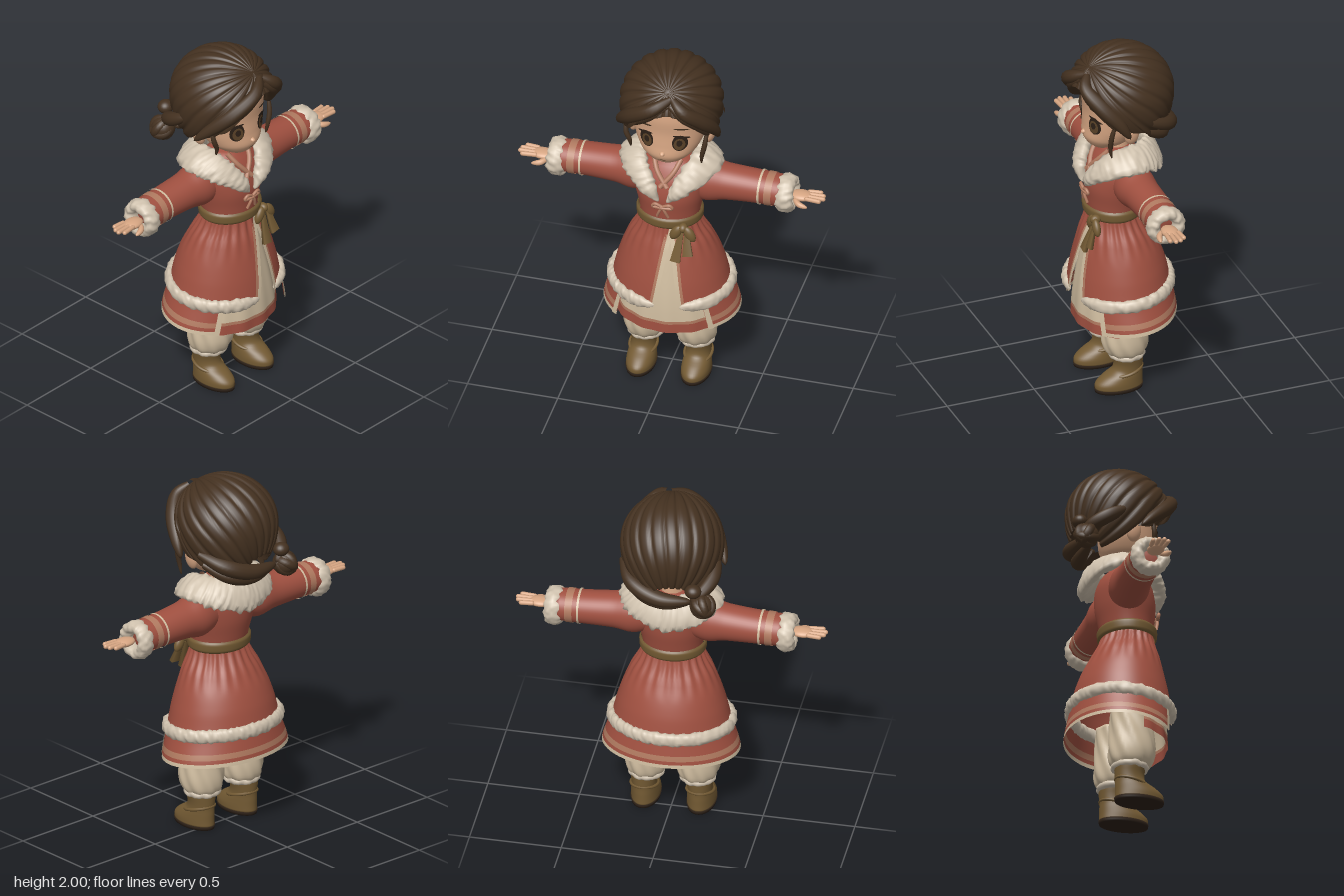
import * as THREE from 'three';
import { mergeVertices } from 'three/addons/utils/BufferGeometryUtils.js';

const V = (x, y, z) => new THREE.Vector3(x, y, z);
const { sin, cos, abs, PI, asin, sqrt, min, max } = Math;

// Grid surface from a function of (u, v), wound to face outward
function grid(nu, nv, fn) {
  const pos = [], idx = [], c = V(0, 0, 0), pts = [];
  for (let j = 0; j <= nv; j++) for (let i = 0; i <= nu; i++) {
    const p = fn(i / nu, j / nv); pts.push(p); c.add(p); pos.push(p.x, p.y, p.z);
  }
  c.divideScalar(pts.length);
  let vol = 0;
  const tri = (a, b, d) => {
    idx.push(a, b, d);
    vol += pts[a].clone().sub(c).dot(pts[b].clone().sub(c).cross(pts[d].clone().sub(c)));
  };
  for (let j = 0; j < nv; j++) for (let i = 0; i < nu; i++) {
    const a = j * (nu + 1) + i, b = a + nu + 1;
    tri(a, a + 1, b); tri(a + 1, b + 1, b);
  }
  if (vol < 0) idx.reverse();
  let g = new THREE.BufferGeometry();
  g.setAttribute('position', new THREE.Float32BufferAttribute(pos, 3));
  g.setIndex(idx);
  g = mergeVertices(g, 1e-5);
  g.computeVertexNormals();
  return g;
}

// Smooth lookup in a table whose first column is the key
function at(rows, y) {
  let i = 0;
  while (i < rows.length - 2 && rows[i + 1][0] <= y) i++;
  const b = rows[i], c = rows[i + 1], a = rows[max(i - 1, 0)], d = rows[min(i + 2, rows.length - 1)];
  const t = min(1, max(0, (y - b[0]) / (c[0] - b[0])));
  return b.map((_, k) => b[k] + 0.5 * t * (c[k] - a[k] + t * (2 * a[k] - 5 * b[k] + 4 * c[k] - d[k]
    + t * (3 * (b[k] - c[k]) + d[k] - a[k]))));
}

// Point on an elliptical section; row = [y, rx, rz, cz, tilt]
function ringPoint(rows, y, th, push = 0) {
  const [, rx, rz, cz = 0, tilt = 0] = at(rows, y);
  return V(sin(th) * (rx + push), y - tilt * cos(th), cz + cos(th) * (rz + push));
}
function loft(rows, { lo = rows[0][0], hi = rows.at(-1)[0], n = 24, seg = 48, a0 = () => 0, a1 = () => 2 * PI,
  push = 0, fold = () => 0, cap = false } = {}) {
  return grid(seg, n, (u, v) => {
    const k = cap ? min(1, max(0, (v * n - 1) / (n - 2))) : v;
    const y = lo + (hi - lo) * k, s = a0(y), th = s + (a1(y) - s) * u;
    if (cap && (v === 0 || v === 1)) return V(0, y, at(rows, y)[3] || 0);
    return ringPoint(rows, y, th, push + fold(th, y));
  });
}

// Fluffy band: centre c(u) with cross-section axes a(u) and b(u)
const tuft = p => 0.5 * sin(p.x * 95 + 2 * sin(p.y * 60)) * sin(p.z * 90 + 2 * sin(p.x * 50)) + 0.5 * sin(p.y * 110 + 2 * sin(p.z * 70 + p.x * 80));
function fur(c, a, b, n = 150, taper = false, amp = 0.18) {
  return grid(n, 14, (u, v) => {
    const A = a(u), B = b(u), s = taper ? min(1, sqrt(max(0, sin(PI * u)) * 5)) : 1;
    const p = A.multiplyScalar(cos(v * 2 * PI)).addScaledVector(B, sin(v * 2 * PI));
    const o = c(u);
    return o.clone().addScaledVector(p, s * (1 + amp * tuft(o.clone().add(p))));
  });
}

// Tapered strand along points
function strand(points, r, taper = u => sqrt(max(0, sin(PI * (0.06 + 0.94 * u))))) {
  const n = 28, curve = new THREE.CatmullRomCurve3(points.map(p => V(...p))), f = curve.computeFrenetFrames(n);
  return grid(n, 12, (u, v) => {
    const i = Math.round(u * n), t = v * 2 * PI, s = r * taper(u);
    return curve.getPointAt(u).addScaledVector(f.normals[i], cos(t) * s).addScaledVector(f.binormals[i], sin(t) * s);
  });
}

export function createModel() {
  const root = new THREE.Group();
  const mat = (name, color, side = THREE.FrontSide) => Object.assign(new THREE.MeshStandardMaterial({ color, side }), { name });
  const D = THREE.DoubleSide;
  const skin = mat('skin', 0xd6a582), hair = mat('hair brown', 0x443120), red = mat('coat red', 0xa05040, D),
    stripe = mat('trim stripe', 0xb07a60, D), furMat = mat('fur', 0xd0c2ae), cream = mat('cream cloth', 0xcfbc9f, D),
    brown = mat('leather brown', 0x735a33, D), dark = mat('dark brown', 0x2c2017), iris = mat('iris', 0x5a4228);
  const add = (name, geo, m, parent = root) => {
    const o = new THREE.Mesh(geo, m); o.name = name; parent.add(o); return o;
  };
  const ball = (name, m, p, s, parent = root) => {
    const o = add(name, new THREE.SphereGeometry(1, 24, 16), m, parent); o.position.set(...p); o.scale.set(...s); return o;
  };

  // Coat skirt, open at the front
  const coat = [[0.42, 0.375, 0.285, 0, 0.025], [0.58, 0.325, 0.27, 0.015, 0.025], [0.7, 0.295, 0.25, 0.02, 0.02], [0.8, 0.263, 0.222, 0.025, 0.01],
    [0.9, 0.22, 0.185, 0.035, 0], [0.98, 0.175, 0.15, 0.045, 0], [1.04, 0.16, 0.135, 0.05, 0]];
  const ang = (x, y) => asin(max(-1, min(1, x / at(coat, y)[1])));
  const edgeL = y => ang(0.045 + (1 - y) * 0.16, y), edgeR = y => ang(0.04 - (1 - y) * 0.16, y);
  const pleat = (th, y) => 0.006 * sin(th * 22) * max(0, min(1, (y - 0.8) * 6)) * (y < 1.03 ? 1 : 0);
  add('coatSkirt', loft(coat, { lo: 0.57, hi: 1.04, seg: 120, a0: edgeL, a1: y => 2 * PI + edgeR(y), fold: pleat }), red);
  for (const [e, s] of [[edgeL, 1], [edgeR, -1]]) {
    const w = y => s * 0.022 / at(coat, y)[1];
    add('coatOpeningEdge', loft(coat, { lo: 0.57, hi: 1.02, seg: 3, a0: y => e(y) - w(y) * 0.5, a1: y => e(y) + w(y) * 0.5, push: 0.006 }), cream);
    add('coatOpeningStripe', loft(coat, { lo: 0.6, hi: 0.98, seg: 3, a0: y => e(y) + w(y) * 0.5, a1: y => e(y) + w(y) * 1.2, push: 0.005 }), stripe);
  }
  // Lower tier in bands, with wider opening
  const low = y => ang(0.22 + (0.58 - y) * 0.22, y);
  for (const [lo, hi, m] of [[0.49, 0.6, red], [0.46, 0.49, stripe], [0.44, 0.46, red], [0.42, 0.44, cream]])
    add('coatHemBand', loft(coat, { lo, hi, n: 6, seg: 80, a0: low, a1: y => 2 * PI - low(y) }), m);
  for (const s of [1, -1])
    add('coatHemEdge', loft(coat, { lo: 0.42, hi: 0.58, n: 6, seg: 3, a0: y => s * low(y), a1: y => s * (low(y) + 0.09), push: 0.005 }), cream);
  // Fur round the skirt
  const t0 = edgeL(0.58) - 0.03, t1 = 2 * PI + edgeR(0.58) + 0.03, trimAng = u => t0 + (t1 - t0) * u;
  add('skirtFurTrim', fur(u => ringPoint(coat, 0.585, trimAng(u)), u => V(sin(trimAng(u)), 0, cos(trimAng(u))).multiplyScalar(0.027),
    () => V(0, 0.038, 0), 240, true), furMat);

  // Inner dress panel
  const inner = [[0.385, 0.315, 0.26, 0, 0.015], [0.57, 0.265, 0.235, 0.015, 0.01], [0.8, 0.2, 0.185, 0.025, 0], [1.02, 0.13, 0.11, 0.05, 0]];
  for (const [lo, hi, m] of [[0.455, 1.02, cream], [0.438, 0.455, stripe], [0.385, 0.438, red]])
    add('innerDress', loft(inner, { lo, hi, n: 12, seg: 60, a0: () => -1.35, a1: () => 1.35, fold: (th, y) => 0.005 * sin(th * 14) * (1 - y) }), m);

  // Bodice, neckline and belt
  const bodice = [[1.0, 0.155, 0.13, 0.05], [1.1, 0.17, 0.145, 0.045], [1.2, 0.195, 0.16, 0.04], [1.3, 0.21, 0.15, 0.03],
    [1.37, 0.17, 0.12, 0.025], [1.42, 0.09, 0.08, 0.03]];
  add('bodice', loft(bodice, { cap: true }), red);
  for (const s of [1, -1])
    add('neckline', strand([[s * 0.075, 1.42, 0.1], [s * 0.045, 1.36, 0.15], [-s * 0.02, 1.28, 0.19]], 0.014, () => 1), stripe);
  add('belt', loft([[1.015, 0.17, 0.147, 0.05], [1.025, 0.18, 0.157, 0.05], [1.07, 0.182, 0.16, 0.05], [1.08, 0.172, 0.15, 0.05]], { n: 10 }), brown);
  ball('beltKnot', brown, [0.11, 1.035, 0.19], [0.025, 0.026, 0.03]);
  for (const s of [1, -1]) {
    const loop = ball('bowLoop', brown, [0.11 + s * 0.038, 1.005, 0.2], [0.028, 0.05, 0.022]);
    loop.rotation.z = s * 0.5;
    const tail = add('bowTail', new THREE.CylinderGeometry(0.018, 0.038, s > 0 ? 0.13 : 0.17, 4, 1).rotateY(PI / 4).scale(1, 1, 0.4), brown);
    tail.position.set(0.115 + s * 0.025, s > 0 ? 0.95 : 0.925, 0.222);
    tail.rotation.set(-0.3, 0, s * 0.12);
  }
  // Cord toggle on the chest
  for (const s of [1, -1]) {
    add('toggleLoop', strand([[0, 1.17, 0.215], [s * 0.04, 1.185, 0.215], [s * 0.055, 1.165, 0.21], [0, 1.165, 0.22]], 0.009, () => 1), stripe);
    add('toggleCord', strand([[0, 1.17, 0.215], [s * 0.015, 1.14, 0.215], [s * 0.03, 1.1, 0.205]], 0.008, () => 1), stripe);
  }

  // Fur collar
  const full = h => new THREE.CatmullRomCurve3([...h, ...h.slice(0, -1).reverse().map(([x, y, z]) => [-x, y, z])].map(p => V(...p)));
  const cin = full([[0.01, 1.22, 0.205], [0.05, 1.32, 0.19], [0.11, 1.42, 0.12], [0.13, 1.455, 0.03], [0.1, 1.46, -0.07], [0, 1.45, -0.13]]);
  const cout = full([[0.03, 1.18, 0.21], [0.14, 1.27, 0.205], [0.25, 1.34, 0.11], [0.28, 1.36, 0], [0.2, 1.33, -0.14], [0, 1.28, -0.2]]);
  const mid = u => cin.getPoint(u).add(cout.getPoint(u)).multiplyScalar(0.5);
  const half = u => cout.getPoint(u).sub(cin.getPoint(u)).multiplyScalar(0.5);
  add('furCollar', fur(mid, half, u => mid(min(1, u + 0.01)).sub(mid(max(0, u - 0.01))).cross(half(u)).normalize().multiplyScalar(0.036),
    220, true, 0.15), furMat);

  // Arms
  for (const s of [1, -1]) {
    const arm = new THREE.Group();
    arm.name = s > 0 ? 'leftArm' : 'rightArm'; arm.scale.x = s; root.add(arm);
    const sleeve = [[0.08, 0.09, 0.09, 0.01], [0.2, 0.122, 0.11, 0.005], [0.3, 0.102, 0.1, 0], [0.45, 0.092, 0.095, -0.005], [0.62, 0.086, 0.093, -0.005]];
    const along = (name, o, m) => { const p = add(name, loft(sleeve, o), m, arm); p.rotation.z = -PI / 2 - 0.02; p.position.y = 1.255; };
    along('sleeve', { cap: true }, red);
    along('sleeveCord', { lo: 0.488, hi: 0.5, n: 3, push: 0.005 }, cream);
    along('sleeveStripe', { lo: 0.525, hi: 0.565, n: 3, push: 0.004 }, stripe);
    const rad = u => V(0, cos(u * 2 * PI), sin(u * 2 * PI));
    add('furCuff', fur(u => V(0.632, 1.232, -0.003).addScaledVector(rad(u), 0.073), u => rad(u).multiplyScalar(0.034), () => V(0.05, 0, 0), 90), furMat, arm);
    // Hand
    ball('palm', skin, [0.715, 1.238, 0.005], [0.065, 0.023, 0.046], arm);
    for (let i = 0; i < 4; i++) {
      const f = add('finger', new THREE.CapsuleGeometry(0.0125, [0.06, 0.08, 0.085, 0.07][i], 5, 10).rotateZ(PI / 2), skin, arm);
      f.position.set([0.782, 0.793, 0.796, 0.785][i], 1.243, -0.034 + i * 0.025);
      f.rotation.y = 0.06 * (1.5 - i);
    }
    add('thumb', strand([[0.68, 1.232, 0.03], [0.715, 1.22, 0.065], [0.765, 1.212, 0.075]], 0.016), skin, arm);

    // Trousers and boots
    const leg = new THREE.Group();
    leg.name = s > 0 ? 'leftLeg' : 'rightLeg'; leg.position.x = s * 0.14; root.add(leg);
    add('trouserLeg', loft([[0.19, 0.075, 0.08, 0.025], [0.23, 0.106, 0.112, 0.03], [0.29, 0.118, 0.126, 0.035], [0.38, 0.113, 0.122, 0.035],
      [0.55, 0.1, 0.11, 0.03]], { cap: true, fold: (th, y) => 0.004 * sin(th * 9 + y * 30) }), cream, leg);
    const rim = u => V(sin(u * 2 * PI), 0, cos(u * 2 * PI));
    add('trouserRuffle', fur(u => V(0, 0.207, 0.025).addScaledVector(rim(u), 0.083), u => rim(u).multiplyScalar(0.018), () => V(0, 0.02, 0), 70), furMat, leg);
    const boot = new THREE.Group(); boot.name = 'boot'; boot.position.x = s * 0.012; leg.add(boot);
    add('bootUpper', loft([[0.018, 0.077, 0.134, 0.074], [0.05, 0.078, 0.132, 0.073], [0.085, 0.074, 0.112, 0.053], [0.115, 0.068, 0.086, 0.028],
      [0.15, 0.069, 0.08, 0.02], [0.2, 0.078, 0.084, 0.022]], { cap: true }), brown, boot);
    add('bootSole', loft([[0, 0.077, 0.134, 0.074], [0.02, 0.081, 0.138, 0.074]], { cap: true, n: 4 }), dark, boot);
    const strap = add('bootStrap', new THREE.TorusGeometry(0.073, 0.009, 8, 36).rotateX(PI / 2).scale(1, 1, 1.2), brown, boot);
    strap.position.set(0, 0.11, 0.032); strap.rotation.x = 0.25;
  }

  // Head
  const face = [[1.425, 0.02, 0.02, 0.125], [1.435, 0.065, 0.055, 0.112], [1.46, 0.11, 0.105, 0.09], [1.5, 0.152, 0.145, 0.07], [1.56, 0.183, 0.155, 0.055],
    [1.64, 0.2, 0.155, 0.05], [1.74, 0.205, 0.165, 0.045], [1.84, 0.18, 0.15, 0.04], [1.9, 0.1, 0.1, 0.03]];
  add('head', loft(face, { n: 48, cap: true }), skin);
  const neck = add('neck', new THREE.CylinderGeometry(0.06, 0.07, 0.16, 24), skin); neck.position.set(0, 1.43, 0.025);
  const nose = ball('nose', skin, [0, 1.525, 0.213], [0.014, 0.012, 0.018]); nose.rotation.x = 0.3;
  const faceZ = (x, y) => { const [, rx, rz, cz] = at(face, y); return cz + rz * sqrt(max(0, 1 - (x / rx) ** 2)); };
  const patch = (name, m, x, y, rx, ry, lift, tilt = 0) => {
    const g = new THREE.RingGeometry(0, 1, 28, 6).scale(rx, ry, 1).rotateZ(tilt).translate(x, y, 0), p = g.attributes.position;
    for (let i = 0; i < p.count; i++) p.setZ(i, faceZ(p.getX(i), p.getY(i)) + lift);
    g.computeVertexNormals(); add(name, g, m);
  };
  for (const s of [1, -1]) {
    patch('eye', dark, s * 0.092, 1.597, 0.04, 0.05, 0.003);
    patch('iris', iris, s * 0.09, 1.59, 0.029, 0.037, 0.005);
    patch('pupil', dark, s * 0.09, 1.597, 0.015, 0.02, 0.007);
    patch('upperLash', dark, s * 0.1, 1.637, 0.045, 0.008, 0.006, -s * 0.2);
    patch('eyebrow', hair, s * 0.1, 1.69, 0.04, 0.006, 0.004, -s * 0.12);
    ball('ear', skin, [s * 0.218, 1.575, 0.025], [0.026, 0.062, 0.04]).rotation.z = -s * 0.2;
  }
  patch('mouth', iris, 0, 1.483, 0.02, 0.003, 0.004);

  // Hair cap combed back from a parting, ending at the hairline
  const pole = V(0.12, 0.72, 0.68).normalize(), e1 = V(1, 0, 0).cross(pole).normalize(), e2 = pole.clone().cross(e1);
  const line = [[0, 1.82], [0.5, 1.765], [0.9, 1.65], [1.3, 1.6], [1.6, 1.58], [1.9, 1.49], [3.3, 1.47]];
  const hairAt = (th, ph, k = 1) => {
    const d = pole.clone().multiplyScalar(cos(ph)).addScaledVector(e1, cos(th) * sin(ph)).addScaledVector(e2, sin(th) * sin(ph));
    return V(d.x * 0.28 * k - 0.005, 1.735 + d.y * (d.y > 0 ? 0.265 : 0.34) * k, d.z * 0.288 * k);
  };
  const limits = new Map();
  const limit = th => {
    if (!limits.has(th)) {
      let ph = 0.05;
      for (; ph < 2.7; ph += 0.005) { const p = hairAt(th, ph); if (p.y < at(line, abs(Math.atan2(p.x, p.z) - 0.15))[1]) break; }
      limits.set(th, ph);
    }
    return limits.get(th);
  };
  add('hairCap', grid(240, 48, (u, v) => {
    const th = (u % 1) * 2 * PI, ph = limit(th) * min(1, v / 0.88), curl = max(0, (v - 0.88) / 0.12);
    const groove = 0.035 * abs(cos(th * 11 + 0.5 * sin(ph * 2))) ** 7 * min(1, ph * 1.6);
    return hairAt(th, ph, 1 - groove - 0.26 * curl * curl);
  }), hair);
  // Fringe, side wisps, nape twists and bun
  const locks = [
    [[[0.05, 1.9, 0.22], [-0.04, 1.85, 0.27], [-0.16, 1.765, 0.23], [-0.25, 1.65, 0.12], [-0.285, 1.58, 0.05]], 0.042],
    [[[0.04, 1.87, 0.24], [-0.06, 1.8, 0.255], [-0.16, 1.71, 0.2], [-0.23, 1.62, 0.12]], 0.032],
    [[[0.06, 1.9, 0.22], [0.12, 1.85, 0.25], [0.2, 1.765, 0.19], [0.255, 1.66, 0.1], [0.27, 1.58, 0.05]], 0.042],
    [[[0.05, 1.87, 0.24], [0.12, 1.81, 0.24], [0.19, 1.72, 0.175], [0.23, 1.62, 0.11]], 0.032],
    [[[0.225, 1.66, 0.12], [0.215, 1.57, 0.14], [0.2, 1.5, 0.14], [0.195, 1.44, 0.13]], 0.014],
    [[[-0.225, 1.66, 0.12], [-0.22, 1.58, 0.14], [-0.2, 1.53, 0.14], [-0.195, 1.48, 0.13]], 0.014],
    [[[0.25, 1.64, -0.07], [0.17, 1.58, -0.2], [0.02, 1.53, -0.25], [-0.16, 1.52, -0.23]], 0.045],
    [[[0.22, 1.57, -0.07], [0.13, 1.51, -0.18], [0, 1.48, -0.21], [-0.16, 1.5, -0.2]], 0.04],
    [[[-0.26, 1.68, -0.03], [-0.25, 1.62, -0.14], [-0.2, 1.57, -0.22], [-0.15, 1.53, -0.24]], 0.04]];
  for (const [p, r] of locks) add('hairLock', strand(p, r), hair);
  ball('bun', hair, [-0.215, 1.51, -0.235], [0.065, 0.066, 0.065]);
  for (let i = 0; i < 3; i++) {
    const coil = add('bunCoil', new THREE.TorusGeometry(0.045, 0.027, 10, 28), hair);
    coil.position.set(-0.22, 1.51, -0.24); coil.rotation.set(0.5 + i * 1.05, 0.6 * i, 0);
  }
  ball('bunKnot', hair, [-0.17, 1.61, -0.26], [0.045, 0.038, 0.042]);
  return root;
}
